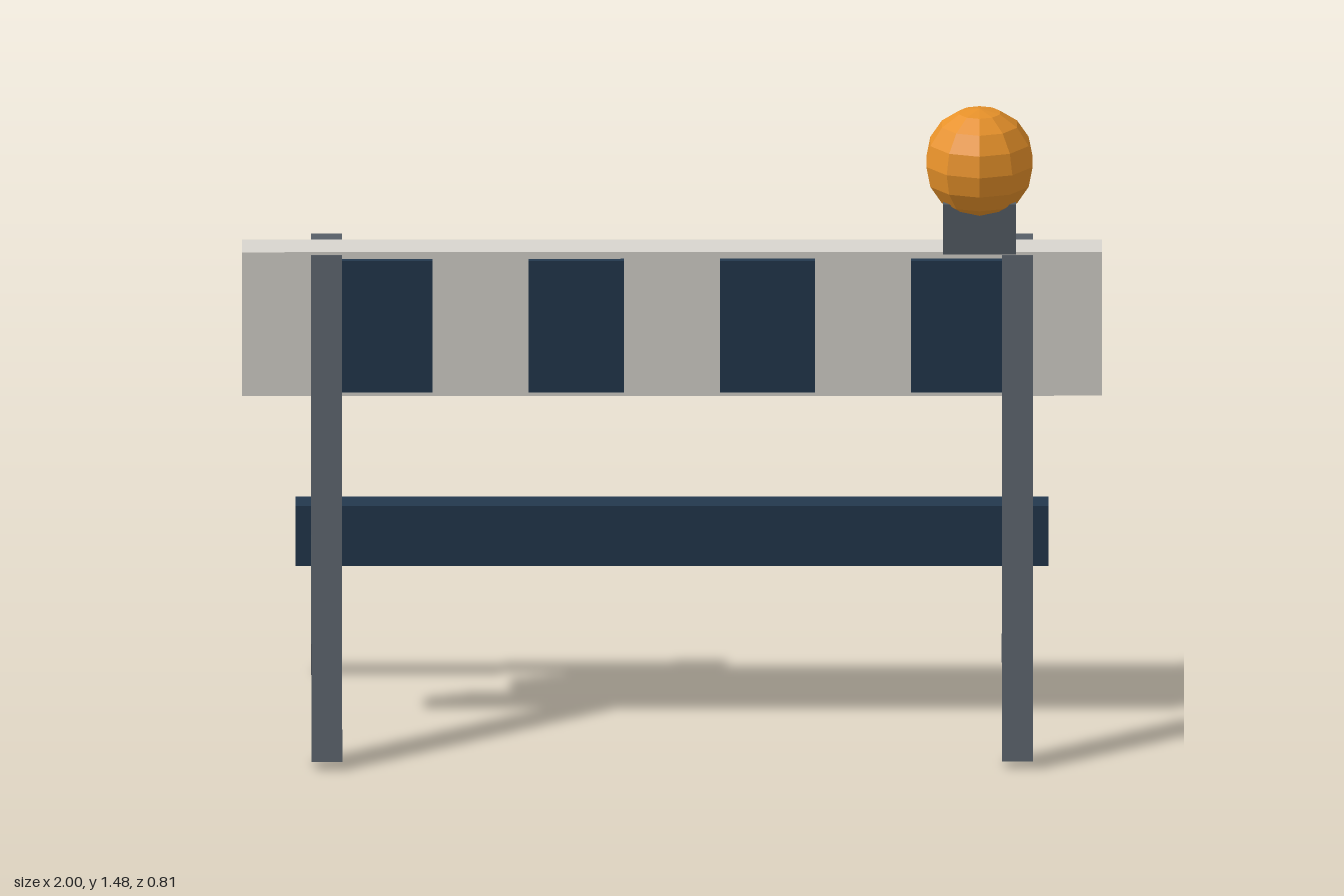
import * as THREE from 'three';

const material = (name, color, flatShading = false) => {
  const m = new THREE.MeshStandardMaterial({ color, flatShading });
  m.name = name;
  return m;
};

export function createModel() {
  const white = material('offWhite', 0xd8d5ce);
  const navy = material('navy', 0x23384d);
  const grey = material('steelGrey', 0x555d65);
  const amber = material('amber', 0xe8922a, true);

  const model = new THREE.Group();
  model.name = 'roadBarrier';

  const add = (name, geometry, mat, x, y, z) => {
    const mesh = new THREE.Mesh(geometry, mat);
    mesh.name = name;
    mesh.position.set(x, y, z);
    model.add(mesh);
    return mesh;
  };
  const box = (name, mat, w, h, d, x, y, z) =>
    add(name, new THREE.BoxGeometry(w, h, d), mat, x, y, z);

  // Main board with painted panels on the front
  box('board', white, 2, 0.35, 0.098, 0, 0.977, -0.001);
  for (let i = 0; i < 4; i++) {
    box('stripe', navy, 0.222, 0.32, 0.018, -0.668 + i * 0.445, 0.976, 0.057);
  }

  // Lower rail between the leg pairs
  box('lowerRail', navy, 1.75, 0.146, 0.073, 0, 0.457, 0);

  // Splayed legs, mirrored left/right and front/back
  const tilt = 0.275;
  for (const side of [1, -1]) {
    for (const end of [1, -1]) {
      const leg = box('leg', grey, 0.072, 1.178, 0.072, side * 0.803, 0.579, end * 0.21);
      leg.rotation.x = -end * tilt;
    }
  }

  // Warning lamp on its housing
  box('lampHousing', grey, 0.17, 0.122, 0.122, 0.715, 1.211, 0);
  const lamp = add('lamp', new THREE.SphereGeometry(0.13, 10, 8), amber, 0.715, 1.357, 0);
  lamp.rotation.y = Math.PI / 2;

  return model;
}
